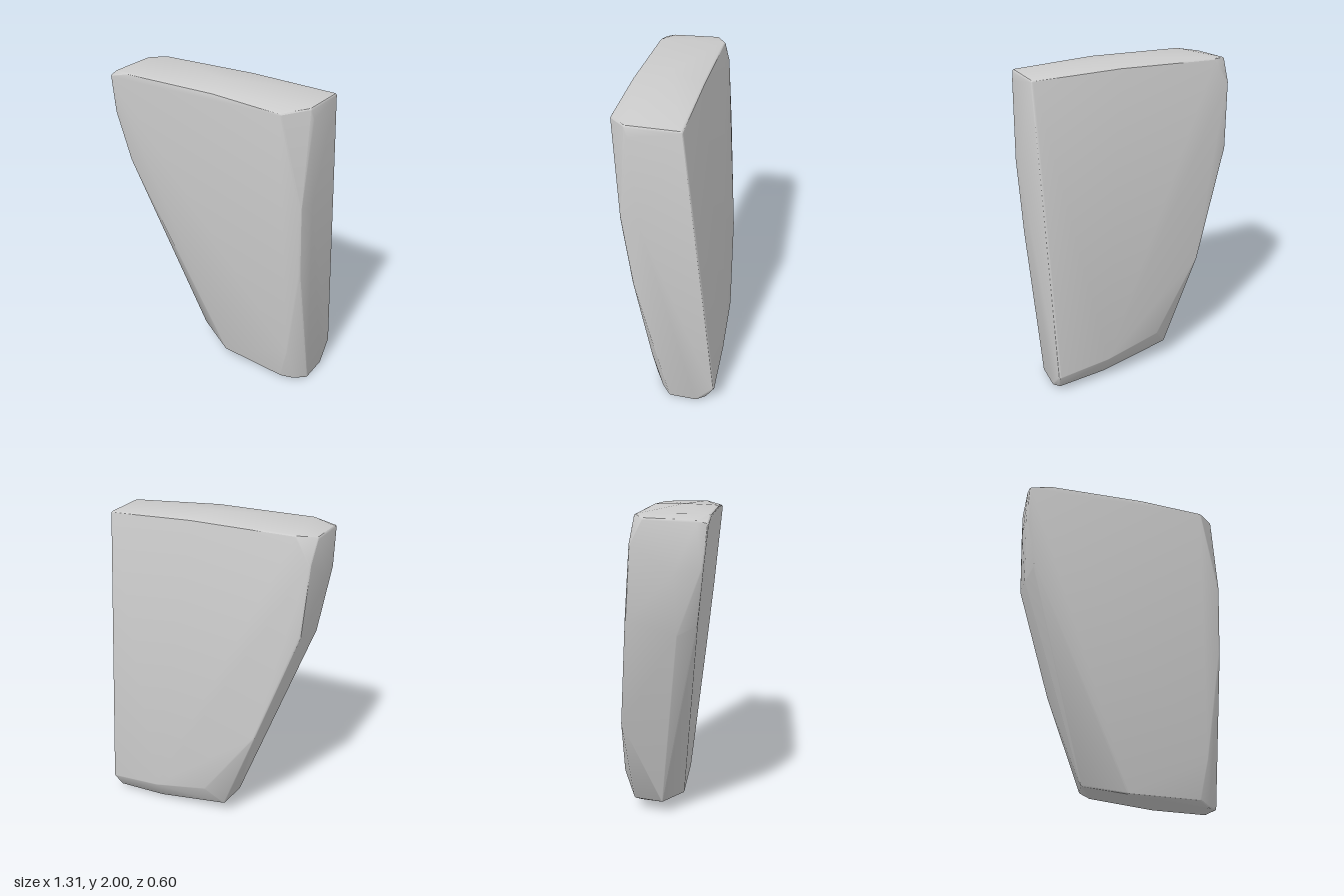
import * as THREE from 'three';
import { ConvexGeometry } from 'three/addons/geometries/ConvexGeometry.js';
import { toCreasedNormals } from 'three/addons/utils/BufferGeometryUtils.js';

const R = 0.014; // softening radius of every edge

// Corners as [x, y, depth]; depth is measured from the leaning mid-plane.
const front = [
  [-0.65, 1.95, 0.2], [-0.52, 1.98, 0.2], [0.1, 1.985, 0.2], [0.53, 1.96, 0.2],
  [0.645, 1.42, 0.2], [0.64, 0.95, 0.2], [0.55, 0.27, 0.2], [0.5, 0.03, 0.2],
  [0.05, 0.045, 0.2], [-0.59, 1.4, 0.2], [-0.655, 1.72, 0.2],
];
const back = [
  [-0.55, 1.98, -0.21], [0.1, 1.99, -0.21], [0.635, 1.975, -0.21], [0.635, 0.13, -0.217],
  [0.3, 0.16, -0.217], [-0.07, 0.24, -0.21], [-0.39, 0.71, -0.21], [-0.62, 1.42, -0.2],
  [-0.64, 1.84, -0.21],
];
const rim = [
  [-0.65, 1.97, -0.15], [-0.655, 1.96, 0.15], [0, 2, 0], [0.64, 1.98, 0.09],
  [0.65, 1.93, 0.08], [0.655, 1.4, 0.1], [0.64, 0.01, -0.09], [0.635, 0.005, 0.1 - 0.01],
  [0.62, 0.03, -0.15], [0.3, 0.03, -0.13], [0.57, 0.005, 0.15], [-0.12, 0.065, -0.07],
  [-0.2, 0.1, 0.08], [-0.17, 0.1, -0.11], [-0.625, 1.35, 0.1], [-0.66, 1.7, 0.05],
];

// A hull of tiny balls placed at the corners gives a slab with rounded edges.
function roundedHull(corners) {
  const ball = new THREE.IcosahedronGeometry(R, 1).getAttribute('position');
  const points = [];
  for (const [x, y, d] of corners) {
    const centre = new THREE.Vector3(
      x * (1 - R / 0.65),
      1 + (y - 1) * (1 - R),
      d * (1 - R / 0.2) + 0.1 * (y - 1),
    );
    for (let i = 0; i < ball.count; i++) {
      points.push(new THREE.Vector3().fromBufferAttribute(ball, i).add(centre));
    }
  }
  return toCreasedNormals(new ConvexGeometry(points), 0.45);
}

export function createModel() {
  const group = new THREE.Group();
  group.name = 'standingStone';
  const slab = new THREE.Mesh(
    roundedHull([...front, ...back, ...rim]),
    new THREE.MeshStandardMaterial({ color: 0xcccccc }),
  );
  slab.name = 'stoneSlab';
  group.add(slab);
  return group;
}
